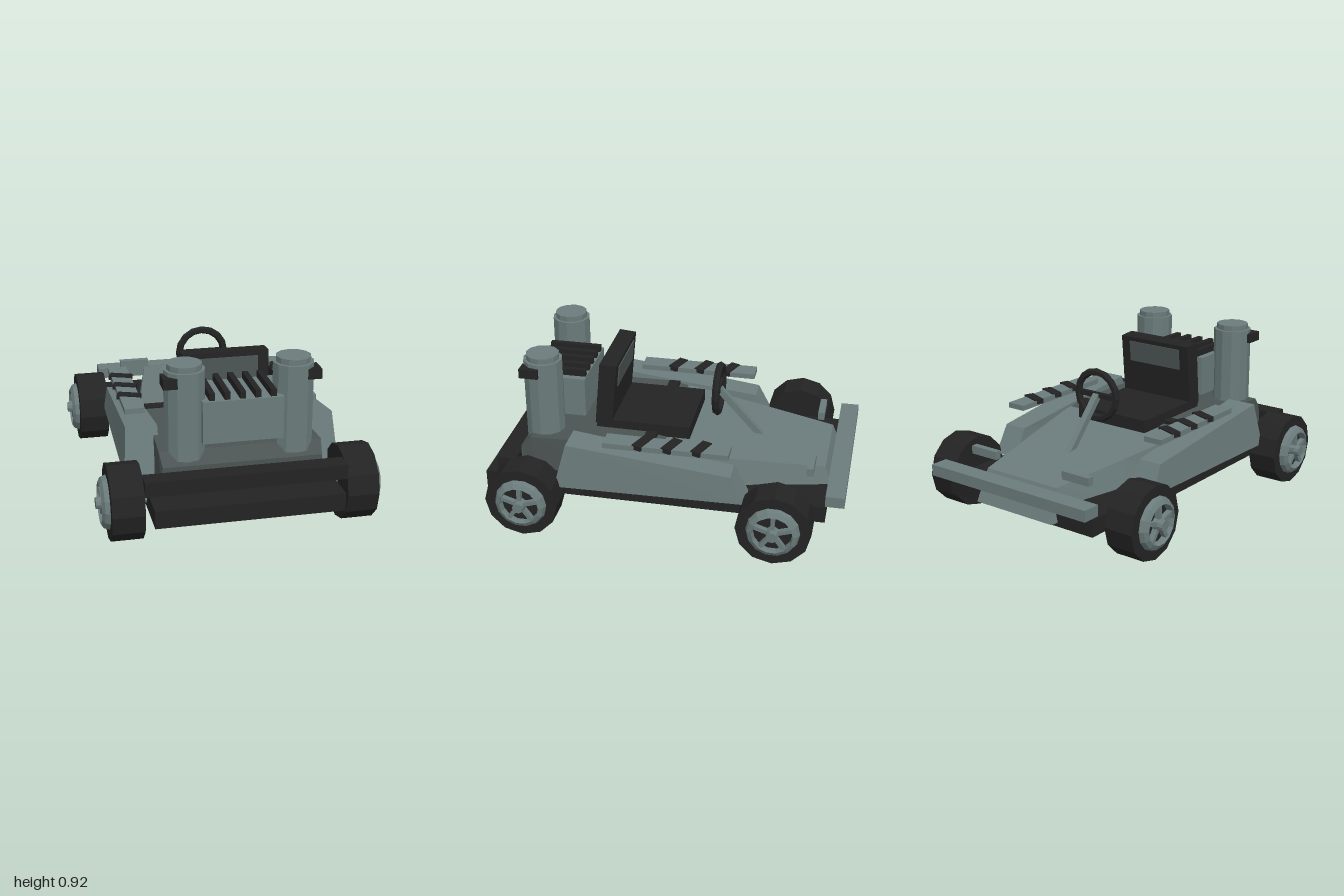
import * as THREE from 'three';

const light = new THREE.MeshStandardMaterial({ color: 0x6b7b7b });
light.name = 'steel grey';
const dark = new THREE.MeshStandardMaterial({ color: 0x4b5453 });
dark.name = 'deck grey';
const black = new THREE.MeshStandardMaterial({ color: 0x232323 });
black.name = 'black';

// faceted mesh
function part(parent, name, geo, mat, x = 0, y = 0, z = 0) {
  const g = geo.index ? geo.toNonIndexed() : geo;
  g.computeVertexNormals();
  const mesh = new THREE.Mesh(g, mat);
  mesh.name = name;
  mesh.position.set(x, y, z);
  parent.add(mesh);
  return mesh;
}

// box given by its limits on each axis
function block(parent, name, mat, [x0, x1], [y0, y1], [z0, z1]) {
  return part(parent, name, new THREE.BoxGeometry(x1 - x0, y1 - y0, z1 - z0), mat,
    (x0 + x1) / 2, (y0 + y1) / 2, (z0 + z1) / 2);
}

// closed hull through loops that run anticlockwise seen from +z, ordered from -z to +z
function loft(loops) {
  const n = loops[0].length, idx = [];
  for (let s = 0; s < loops.length - 1; s++) {
    for (let i = 0; i < n; i++) {
      const a = s * n + i, b = s * n + (i + 1) % n;
      idx.push(a, b, b + n, a, b + n, a + n);
    }
  }
  const last = (loops.length - 1) * n;
  for (let i = 1; i < n - 1; i++) idx.push(0, i + 1, i, last, last + i, last + i + 1);
  const g = new THREE.BufferGeometry();
  g.setAttribute('position', new THREE.Float32BufferAttribute(loops.flat(2), 3));
  g.setIndex(idx);
  return g;
}

// four-cornered section: bottom and top each [xMin, xMax, y, z]
const section = (b, t) => [[b[0], b[2], b[3]], [b[1], b[2], b[3]], [t[1], t[2], t[3]], [t[0], t[2], t[3]]];

function makeWheel() {
  const wheel = new THREE.Group();
  const onX = (g) => g.rotateZ(-Math.PI / 2);
  part(wheel, 'tyre', onX(new THREE.CylinderGeometry(0.203, 0.203, 0.17, 12)), black);
  const rim = [[0.145, 0], [0.135, 0.025], [0.11, 0.04], [0.105, 0.02], [0.105, 0]];
  part(wheel, 'rim', onX(new THREE.LatheGeometry(rim.map((p) => new THREE.Vector2(...p)), 14)), light, 0.085);
  for (let i = 0; i < 5; i++) {
    const spoke = new THREE.BoxGeometry(0.03, 0.1, 0.022).translate(0, 0.06, 0);
    part(wheel, 'spoke', spoke.rotateX(i * Math.PI * 2 / 5), light, 0.1);
  }
  part(wheel, 'hub', onX(new THREE.CylinderGeometry(0.03, 0.036, 0.06, 10)), light, 0.115);
  return wheel;
}

export function createModel() {
  const kart = new THREE.Group();
  kart.name = 'kart';

  // chassis and bumpers
  block(kart, 'floor', black, [-0.495, 0.495], [0.16, 0.255], [-0.9, 1]);
  block(kart, 'blackBumper', black, [-0.53, 0.53], [0.295, 0.375], [0.81, 0.915]);
  block(kart, 'greyBumper', light, [-0.53, 0.53], [0.285, 0.347], [-1, -0.897]);

  // tapered nose
  part(kart, 'nose', loft([
    section([-0.26, 0.26, 0.18, -0.94], [-0.24, 0.24, 0.355, -0.87]),
    section([-0.37, 0.37, 0.2, -0.42], [-0.33, 0.33, 0.4, -0.41]),
    section([-0.44, 0.44, 0.2, 0.02], [-0.41, 0.41, 0.44, 0.02]),
  ]), light);

  // engine deck with a chamfered end
  part(kart, 'deck', loft([
    section([-0.41, 0.41, 0.255, 0.02], [-0.41, 0.41, 0.44, 0.02]),
    section([-0.41, 0.41, 0.255, 0.14], [-0.4, 0.4, 0.462, 0.14]),
    section([-0.43, 0.43, 0.265, 0.74], [-0.43, 0.43, 0.465, 0.75]),
    section([-0.43, 0.43, 0.27, 0.81], [-0.42, 0.42, 0.4, 0.81]),
  ]), dark);
  block(kart, 'deckBand', black, [-0.395, 0.395], [0.43, 0.468], [0.07, 0.135]);

  for (const s of [1, -1]) {
    const span = (a, b) => (s > 0 ? [a, b] : [-b, -a]);

    // side pods
    part(kart, 'sidePod', loft([
      section([...span(0.4, 0.555), 0.255, -0.47], [...span(0.41, 0.545), 0.41, -0.39]),
      section([...span(0.39, 0.585), 0.258, 0.58], [...span(0.395, 0.565), 0.515, 0.51]),
    ]), light);
    block(kart, 'podPlate', light, span(0.427, 0.537), [0.508, 0.538], [-0.375, 0.31]);
    for (const z of [-0.22, -0.06, 0.1]) {
      const stripe = part(kart, 'podStripe', new THREE.BoxGeometry(0.13, 0.027, 0.055), black, s * 0.482, 0.531, z);
      stripe.rotation.y = -0.37;
    }

    // upright canisters with clamps
    part(kart, 'canister', new THREE.CylinderGeometry(0.108, 0.108, 0.47, 12), light, s * 0.285, 0.655, 0.7);
    part(kart, 'canisterCap', new THREE.CylinderGeometry(0.092, 0.092, 0.03, 12), light, s * 0.285, 0.905, 0.7);
    block(kart, 'clamp', black, span(0.337, 0.41), [0.815, 0.868], [0.695, 0.8]);

    // small bars on the nose
    block(kart, 'noseBar', light, span(0.23, 0.405), [0.385, 0.43], [-0.817, -0.78]);

    // wheels
    for (const z of [0.735, -0.645]) {
      const wheel = makeWheel();
      wheel.name = z > 0 ? 'engineEndWheel' : 'noseEndWheel';
      wheel.position.set(s * 0.615, 0.205, z);
      if (s < 0) wheel.rotation.y = Math.PI;
      kart.add(wheel);
    }
  }
  for (const z of [0.735, -0.645]) {
    const axle = new THREE.CylinderGeometry(0.025, 0.025, 1.1, 8).rotateZ(Math.PI / 2);
    part(kart, 'axle', axle, light, 0, 0.208, z);
  }

  // engine block and cooling fins
  block(kart, 'engineBlock', light, [-0.212, 0.212], [0.51, 0.737], [0.49, 0.805]);
  for (let i = -2; i <= 2; i++) {
    const x = i * 0.08;
    block(kart, 'engineFin', black, [x - 0.015, x + 0.015], [0.73, 0.775], [0.495, 0.79]);
  }

  // seat
  block(kart, 'seatCushion', black, [-0.235, 0.235], [0.44, 0.512], [-0.11, 0.42]);
  part(kart, 'seatBack', loft([
    section([-0.235, 0.235, 0.49, 0.333], [-0.235, 0.235, 0.845, 0.3]),
    section([-0.235, 0.235, 0.49, 0.428], [-0.235, 0.235, 0.853, 0.395]),
  ]), black);
  part(kart, 'seatPanel', loft([
    section([-0.175, 0.175, 0.7, 0.307], [-0.175, 0.175, 0.82, 0.296]),
    section([-0.175, 0.175, 0.7, 0.416], [-0.175, 0.175, 0.825, 0.405]),
  ]), dark);

  // steering wheel and column
  part(kart, 'steeringWheel', new THREE.TorusGeometry(0.132, 0.021, 6, 16), black, 0, 0.65, -0.233);
  block(kart, 'steeringBar', black, [-0.125, 0.125], [0.635, 0.665], [-0.243, -0.223]);
  const top = new THREE.Vector3(0, 0.65, -0.235), foot = new THREE.Vector3(0, 0.38, -0.48);
  const column = part(kart, 'steeringColumn', new THREE.BoxGeometry(0.036, 0.036, top.distanceTo(foot)), light);
  column.position.copy(top).add(foot).multiplyScalar(0.5);
  column.lookAt(top);

  return kart;
}
